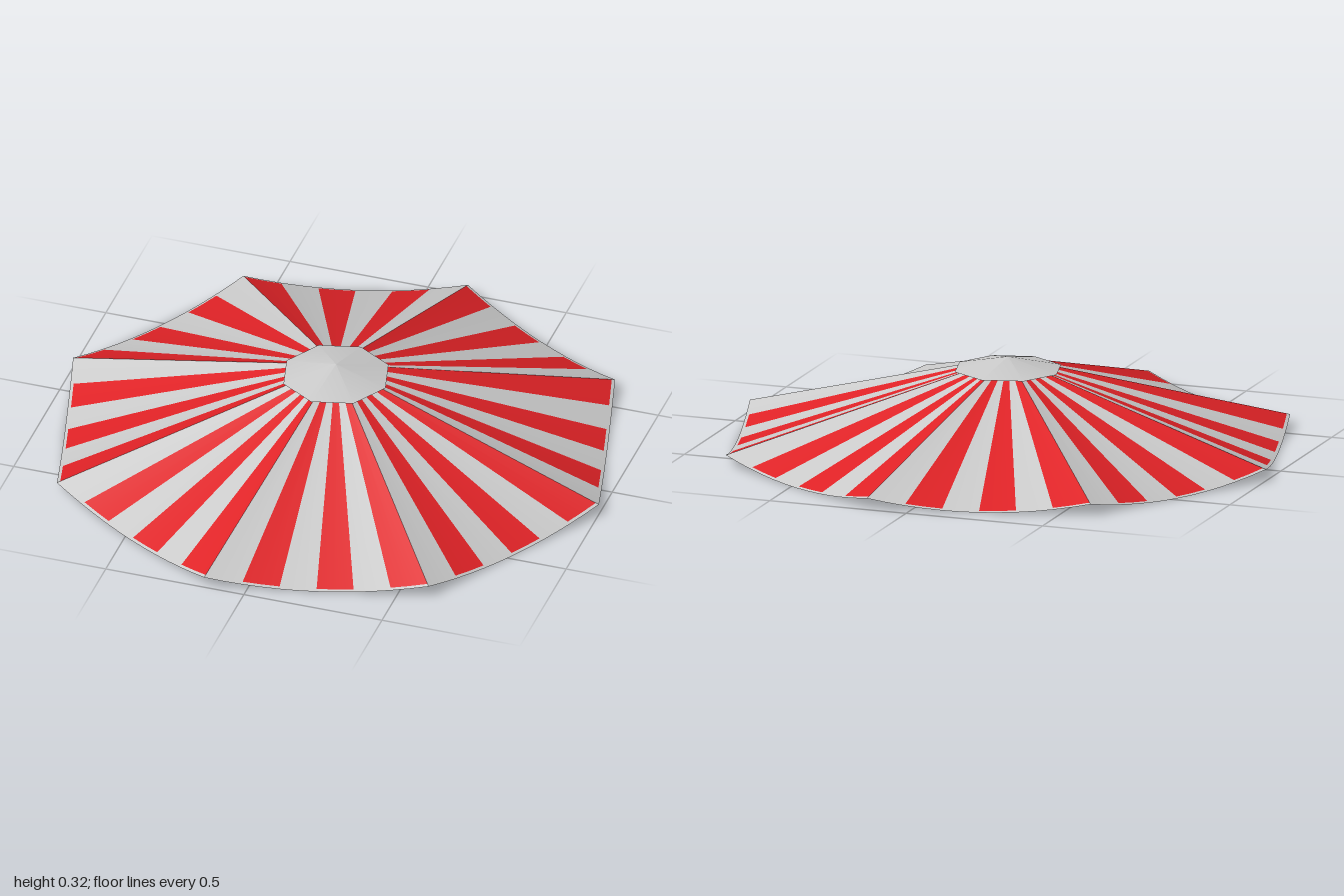
import * as THREE from 'three';

const PANELS = 8, STRIPES = 6, STEPS = 2;
const RADIUS = 1.01, TURN = THREE.MathUtils.degToRad(8.2);
const CORNER_Y = 0.04, SAG = 0.04, HOLE = 0.1, RIM = 0.988;
const APEX = new THREE.Vector3(0, 0.317, 0);

const corner = (k, r, y) => {
  const a = TURN + (k * Math.PI * 2) / PANELS;
  return new THREE.Vector3(r * Math.cos(a), y, r * Math.sin(a));
};

// Hem of a panel: straight in plan, drooping between its two corners
function hem(k, u) {
  const p = corner(k, RADIUS, CORNER_Y).lerp(corner(k + 1, RADIUS, CORNER_Y), u);
  p.y -= SAG * 4 * u * (1 - u);
  return p;
}

// Collects ruled strips of cloth running from the apex towards the hem
class Cloth {
  positions = [];
  normals = [];

  strip(k, u0, u1, f0, f1) {
    const at = (u, f) => APEX.clone().lerp(hem(k, u), f);
    const normal = (u) => {
      const along = corner(k + 1, RADIUS, 0).sub(corner(k, RADIUS, 0));
      along.y = -SAG * 4 * (1 - 2 * u);
      return along.cross(hem(k, u).sub(APEX)).normalize();
    };
    for (let i = 0; i < STEPS; i++) {
      const a = u0 + ((u1 - u0) * i) / STEPS;
      const b = u0 + ((u1 - u0) * (i + 1)) / STEPS;
      for (const [u, f] of [[a, f0], [b, f0], [b, f1], [a, f0], [b, f1], [a, f1]]) {
        this.positions.push(...at(u, f).toArray());
        this.normals.push(...normal(u).toArray());
      }
    }
  }

  mesh(name, material) {
    const g = new THREE.BufferGeometry();
    g.setAttribute('position', new THREE.Float32BufferAttribute(this.positions, 3));
    g.setAttribute('normal', new THREE.Float32BufferAttribute(this.normals, 3));
    const m = new THREE.Mesh(g, material);
    m.name = name;
    return m;
  }
}

export function createModel() {
  const grey = new THREE.MeshStandardMaterial({ color: 0xcccccc, side: THREE.DoubleSide });
  const red = new THREE.MeshStandardMaterial({ color: 0xe02226, side: THREE.DoubleSide });
  const group = new THREE.Group();
  group.name = 'canopy';

  // Alternating stripes on eight panels, with a narrow pale hem
  const pale = new Cloth(), bright = new Cloth(), edge = new Cloth();
  for (let k = 0; k < PANELS; k++) {
    for (let s = 0; s < STRIPES; s++) {
      const u0 = s / STRIPES, u1 = (s + 1) / STRIPES;
      (s % 2 ? pale : bright).strip(k, u0, u1, HOLE, RIM);
      edge.strip(k, u0, u1, RIM, 1);
    }
  }
  group.add(
    bright.mesh('redStripes', red),
    pale.mesh('paleStripes', grey),
    edge.mesh('hem', grey)
  );

  // Shallow octagonal cap over the vent hole
  const capGeometry = new THREE.ConeGeometry(0.19, 0.042, PANELS, 1, true);
  capGeometry.rotateY(Math.PI / 2 - TURN);
  const cap = new THREE.Mesh(capGeometry, grey);
  cap.name = 'topCap';
  cap.position.y = 0.275 + 0.021;
  group.add(cap);

  return group;
}
